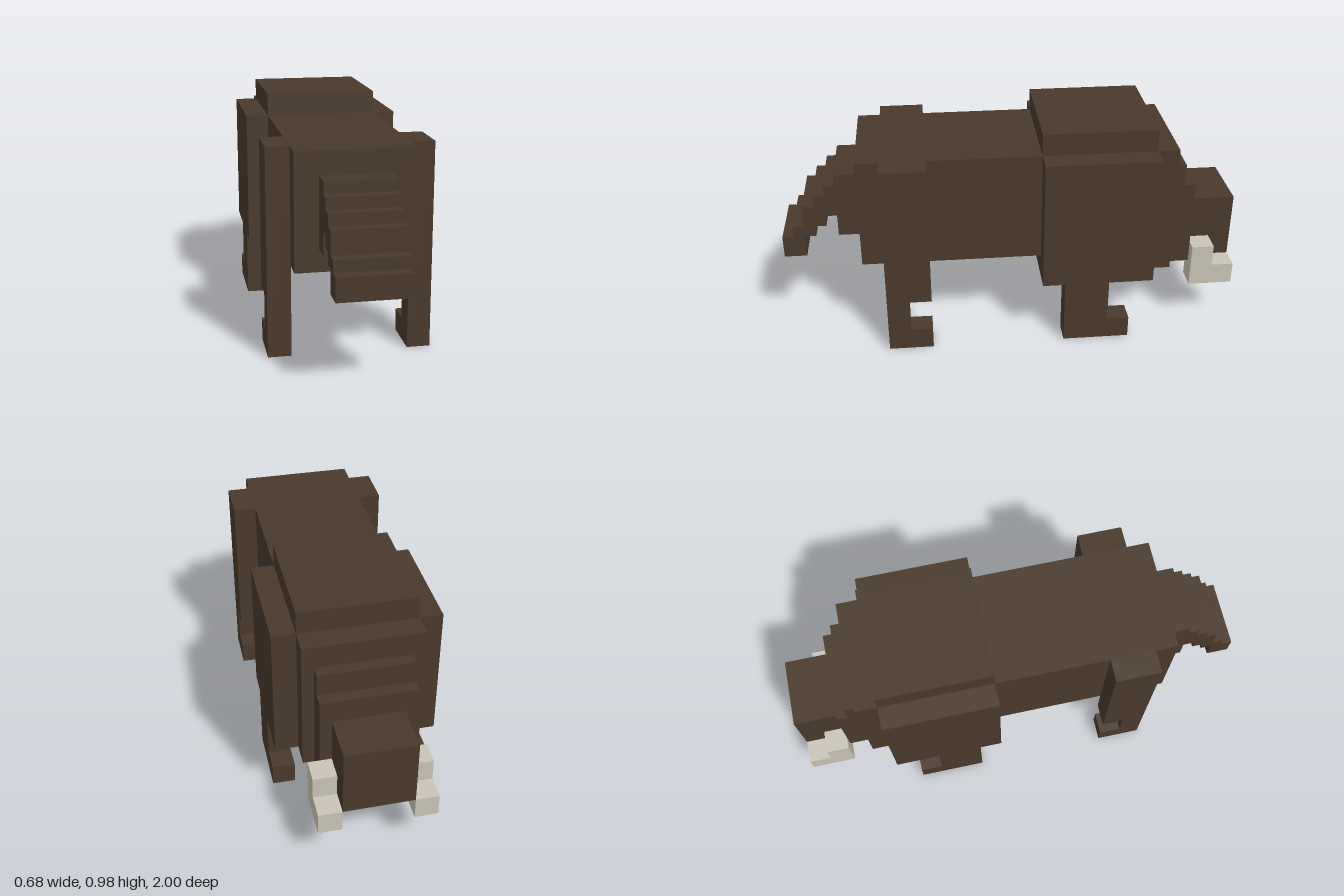
import * as THREE from 'three';

const U = 2 / 41; // one block unit

export function createModel() {
  const model = new THREE.Group();
  model.name = 'tuskedAnimal';

  const hide = new THREE.MeshStandardMaterial({ color: 0x4a392b });
  hide.name = 'brown hide';
  const ivory = new THREE.MeshStandardMaterial({ color: 0xc9c4b6 });
  ivory.name = 'pale ivory';

  // Side outline of [z, y] points in block units, extruded from x0 to x1
  function slab(name, outline, x0, x1, material = hide) {
    const shape = new THREE.Shape(outline.map(([z, y]) => new THREE.Vector2(z * U, y * U)));
    const geometry = new THREE.ExtrudeGeometry(shape, { depth: (x1 - x0) * U, bevelEnabled: false });
    geometry.rotateY(-Math.PI / 2).translate(x1 * U, 0, 0);
    const mesh = new THREE.Mesh(geometry, material);
    mesh.name = name;
    model.add(mesh);
  }

  // Centred box: half width, z range and y range in block units
  function block(name, half, z0, z1, y0, y1) {
    slab(name, [[z0, y0], [z1, y0], [z1, y1], [z0, y1]], -half, half);
  }

  // Trunk of the body, from rump to head
  block('hindBody', 5, -2.5, 13.5, 8, 18);
  block('chest', 5, -14.5, -2.5, 6, 18);
  block('shoulderHump', 5, -12.5, -2.5, 18, 20);
  block('neckBase', 4, -15.5, -14.5, 6, 16);
  block('neck', 4, -16.5, -15.5, 6, 14);
  block('head', 3, -20.5, -16.5, 6, 12);

  // Stepped tail: z range, y range of each segment
  [
    [13.5, 15.5, 10, 16],
    [15.5, 16.5, 12, 15],
    [16.5, 17.5, 11, 14],
    [17.5, 18.5, 10, 13],
    [18.5, 19.5, 8, 11],
    [19.5, 20.5, 8, 10],
  ].forEach((s, i) => block(`tailSegment${i + 1}`, 3, ...s));

  // Legs with forward-pointing feet, and tusks
  const foreLeg = [[-4.5, 0], [-4.5, 6], [-2.5, 6], [-2.5, 18], [-12.5, 18], [-12.5, 6],
    [-8.5, 6], [-8.5, 2], [-10.5, 2], [-10.5, 0]];
  const hindLeg = [[11.5, 0], [11.5, 18], [7.5, 18], [7.5, 5], [9.5, 5], [9.5, 2], [7.5, 2], [7.5, 0]];
  const tusk = [[-16.5, 4], [-16.5, 8], [-18.5, 8], [-18.5, 6], [-20.5, 6], [-20.5, 4]];
  for (const [side, leg, tooth] of [['left', [5, 7], [3, 5]], ['right', [-7, -5], [-5, -3]]]) {
    slab(`${side}ForeLeg`, foreLeg, ...leg);
    slab(`${side}HindLeg`, hindLeg, ...leg);
    slab(`${side}Tusk`, tusk, ...tooth, ivory);
  }

  return model;
}
